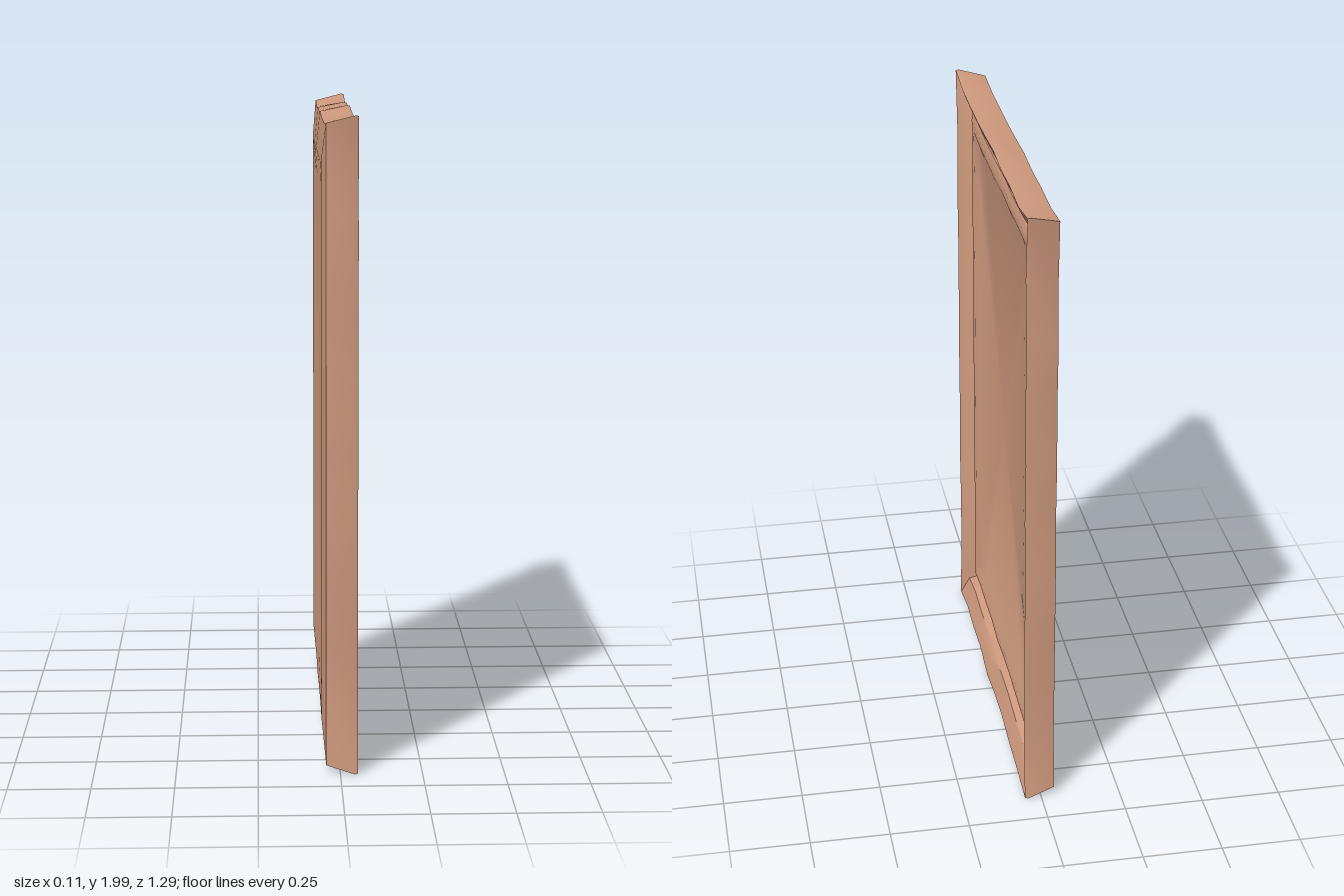
import * as THREE from 'three';
import { toCreasedNormals } from 'three/addons/utils/BufferGeometryUtils.js';

// Hand-carved waviness: how far each edge point sits inside the straight line between corners
const WAVES = {
  bottom: [0, 0.027, 0.021, 0.03, 0.004, 0.025, 0.03, 0.016, 0.012],
  back: [0, 0.025, 0.02, 0.018, 0.014, 0.024, 0.011, 0.02, 0.006, 0.024],
  top: [0, 0.022, 0.014, 0.02, 0.009, 0.018, 0.023, 0.022, 0.019],
  front: [0, 0.024, 0.01, 0.019, 0.018, 0.013, 0.018, 0.009, 0.024, 0.022],
};

// One wavy rectangular loop at depth x: half width hz, from y0 to y1, wave strength k
function ring([x, hz, y0, y1, k]) {
  const pts = [];
  const side = (wave, z0, ya, z1, yb, nz, ny) => wave.forEach((w, i) => {
    const t = i / wave.length;
    pts.push([x, ya + (yb - ya) * t + ny * w * k, z0 + (z1 - z0) * t + nz * w * k]);
  });
  side(WAVES.bottom, hz, y0, -hz, y0, 0, 1);
  side(WAVES.back, -hz, y0, -hz, y1, 1, 0);
  side(WAVES.top, -hz, y1, hz, y1, 0, -1);
  side(WAVES.front, hz, y1, hz, y0, -1, 0);
  return pts;
}

// Skin a sequence of rings; a ring of zero size closes the surface
function loft(name, specs, material) {
  const rings = specs.map(ring);
  const n = rings[0].length;
  const index = [];
  for (let i = 0; i < rings.length - 1; i++) {
    for (let j = 0; j < n; j++) {
      const k = (j + 1) % n;
      const a = i * n + j, b = i * n + k, c = b + n, d = a + n;
      if (specs[i][1] > 0) index.push(a, b, c);
      if (specs[i + 1][1] > 0) index.push(a, c, d);
    }
  }
  const geo = new THREE.BufferGeometry();
  geo.setAttribute('position', new THREE.Float32BufferAttribute(rings.flat(2), 3));
  geo.setIndex(index);
  const mesh = new THREE.Mesh(toCreasedNormals(geo, 0.6), material);
  mesh.name = name;
  return mesh;
}

export function createModel() {
  const group = new THREE.Group();
  group.name = 'framedPanel';
  const clay = new THREE.MeshStandardMaterial({ color: 0xcf9a7e });

  // Ring values: x, half width, lower y, upper y, wave strength
  const backEdge = [-0.043, 0.63, 0.03, 1.975, 0.6];
  const groove = [0.0, 0.572, 0.108, 1.908, 0.6];

  // Slightly swollen back
  group.add(loft('backPlate', [
    [-0.05, 0, 1, 1, 0],
    [-0.05, 0.44, 0.23, 1.77, 0.3],
    [-0.055, 0.53, 0.15, 1.86, 0.5],
    backEdge,
  ], clay));

  // Flared outer walls and the rim sloping in to the groove
  group.add(loft('frame', [
    backEdge,
    [0.044, 0.643, 0.004, 1.997, 1],
    [0.053, 0.641, 0.007, 1.995, 1],
    [0.046, 0.624, 0.03, 1.975, 0.95],
    [0.028, 0.6, 0.085, 1.935, 0.8],
    groove,
  ], clay));

  // Rounded moulding around the flat centre
  group.add(loft('innerPanel', [
    groove,
    [0.0, 0.56, 0.12, 1.9, 0.6],
    [0.013, 0.55, 0.132, 1.89, 0.6],
    [0.02, 0.525, 0.155, 1.865, 0.5],
    [0.019, 0.495, 0.18, 1.835, 0.4],
    [0.005, 0.46, 0.213, 1.79, 0.3],
    [0.005, 0, 1, 1, 0],
  ], clay));

  return group;
}
